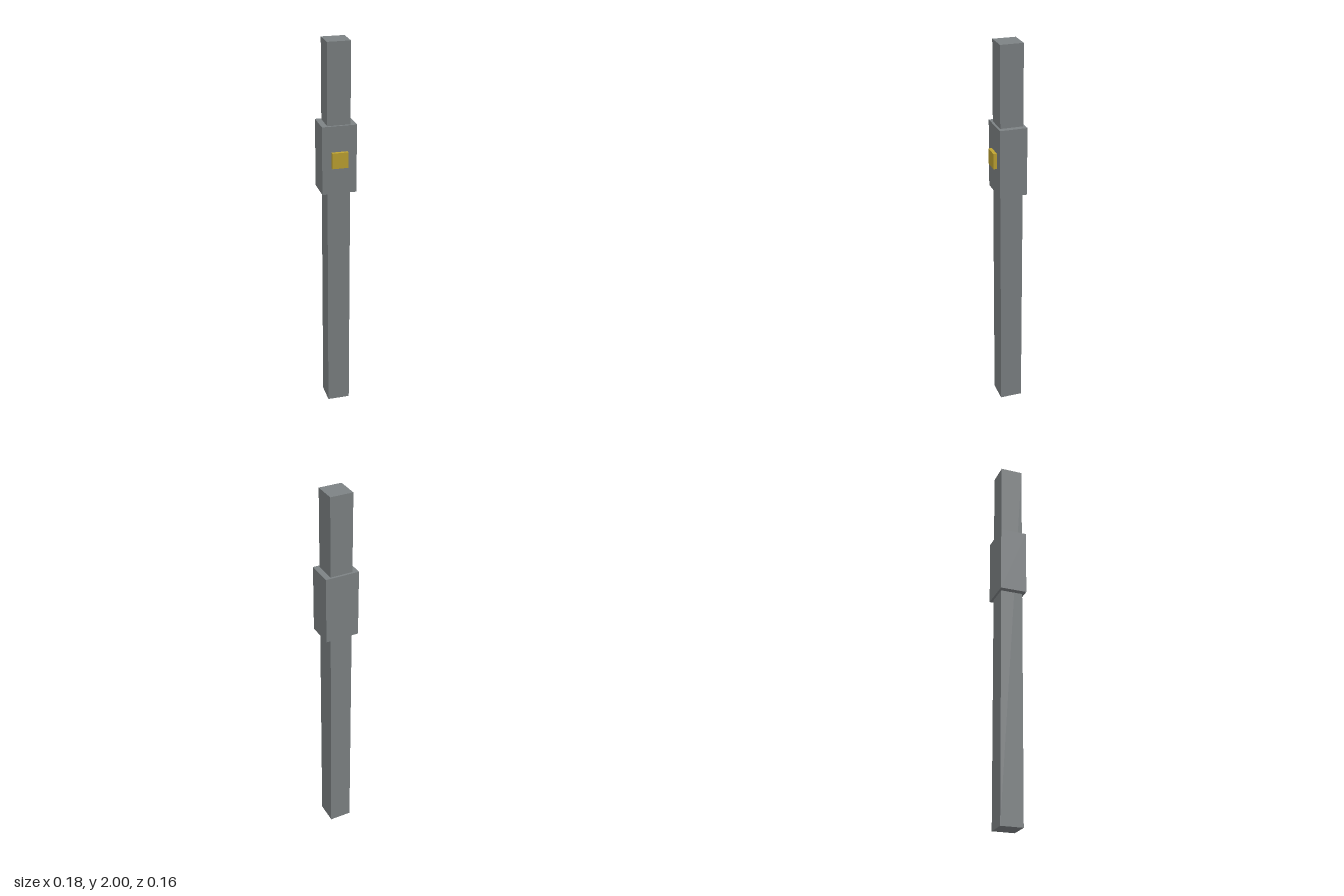
import * as THREE from 'three';

export function createModel() {
  const model = new THREE.Group();
  const steel = new THREE.MeshStandardMaterial({ color: 0x7d8284 });
  steel.name = 'grey metal';
  const gold = new THREE.MeshStandardMaterial({ color: 0xc0a432 });
  gold.name = 'gold';

  const addBox = (name, material, size, position) => {
    const mesh = new THREE.Mesh(new THREE.BoxGeometry(...size), material);
    mesh.name = name;
    mesh.position.set(...position);
    model.add(mesh);
  };

  const axisZ = -0.009; // the shaft sits back to balance the button
  const sleeveY = 1.412;

  // Long square shaft running through the sleeve
  addBox('shaft', steel, [0.1176, 2, 0.1176], [0, 1, axisZ]);
  // Wider sleeve around the upper shaft
  addBox('sleeve', steel, [0.1765, 0.353, 0.1412], [0, sleeveY, axisZ]);
  // Square button on the front of the sleeve
  addBox('button', gold, [0.081, 0.081, 0.0178], [0, sleeveY + 0.003, 0.0705]);

  return model;
}
